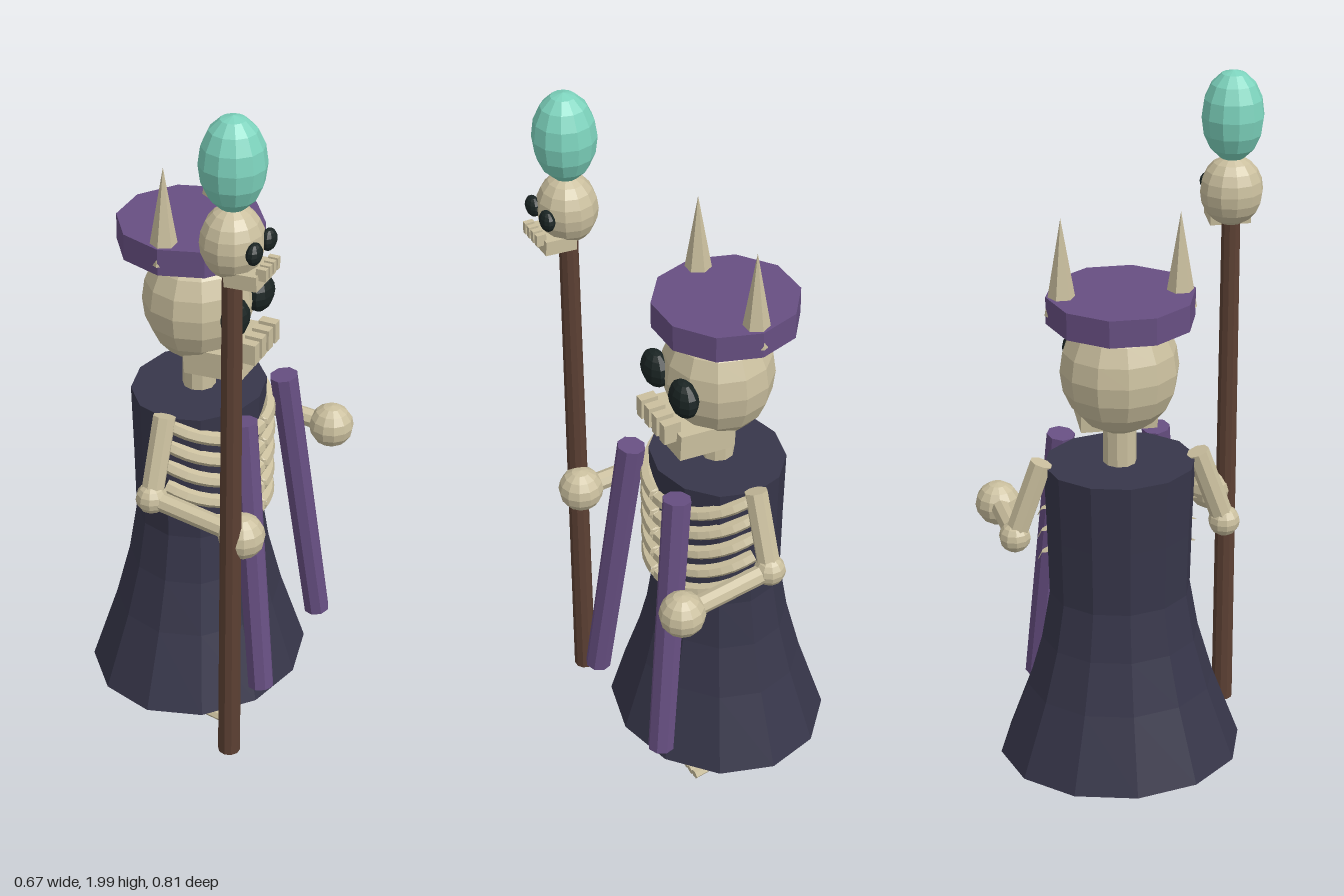
import * as THREE from 'three';

const material = (name, color) => {
  const m = new THREE.MeshStandardMaterial({ color, flatShading: true });
  m.name = name;
  return m;
};

const V = (x, y, z) => new THREE.Vector3(x, y, z);

export function createModel() {
  const bone = material('bone', 0xcabf9e);
  const robeCloth = material('robe cloth', 0x37364a);
  const purple = material('purple cloth', 0x674f82);
  const socket = material('eye socket', 0x1a2423);
  const wood = material('wood', 0x5c4033);
  const jewel = material('jewel', 0x7dd3bd);

  const model = new THREE.Group();
  model.name = 'skeletonMage';

  const add = (parent, name, geometry, mat, x = 0, y = 0, z = 0) => {
    const mesh = new THREE.Mesh(geometry, mat);
    mesh.name = name;
    mesh.position.set(x, y, z);
    parent.add(mesh);
    return mesh;
  };

  const ball = (parent, name, mat, p, rx, ry = rx, rz = rx, w = 12, h = 8) => {
    const mesh = add(parent, name, new THREE.SphereGeometry(1, w, h), mat, p.x, p.y, p.z);
    mesh.scale.set(rx, ry, rz);
    return mesh;
  };

  // Straight rod between two points
  const rod = (parent, name, mat, a, b, ra, rb = ra, sides = 8) => {
    const d = b.clone().sub(a);
    const mesh = add(parent, name, new THREE.CylinderGeometry(rb, ra, d.length(), sides), mat);
    mesh.position.copy(a).add(b).multiplyScalar(0.5);
    mesh.quaternion.setFromUnitVectors(V(0, 1, 0), d.normalize());
    return mesh;
  };

  // Skull facing +x, centred on its cranium
  const makeSkull = (name) => {
    const skull = new THREE.Group();
    skull.name = name;
    ball(skull, 'cranium', bone, V(0, 0, 0), 0.152, 0.182, 0.162, 12, 10);
    for (const s of [-1, 1]) {
      ball(skull, 'eyeSocket', socket, V(0.145, 0.002, s * 0.08), 0.036, 0.054, 0.056, 10, 8);
    }
    const jaw = add(skull, 'jaw', new THREE.BoxGeometry(0.165, 0.075, 0.21), bone, 0.085, -0.145, 0);
    jaw.rotation.z = 0.06;
    for (let i = 0; i < 4; i++) {
      const z = (i - 1.5) * 0.044;
      add(skull, 'tooth', new THREE.BoxGeometry(0.05, 0.06, 0.028), bone, 0.178, -0.1, z);
    }
    return skull;
  };

  // The figure is mirrored about its own middle plane
  const figure = new THREE.Group();
  figure.name = 'figure';
  figure.position.set(-0.036, 0, -0.038);
  model.add(figure);

  // Closed flared robe
  const profile = [[0, 0.1], [0.3, 0.1], [0.23, 0.32], [0.193, 0.47], [0.172, 0.61], [0.176, 0.8], [0.182, 1], [0, 1]]
    .map(([r, y]) => new THREE.Vector2(r, y));
  const robe = add(figure, 'robe', new THREE.LatheGeometry(profile, 12), robeCloth);
  robe.scale.z = 1.15;

  // Neck and head
  rod(figure, 'neck', bone, V(0, 0.98, 0), V(0, 1.12, 0), 0.046, 0.046, 10);
  const head = makeSkull('head');
  head.position.y = 1.275;
  figure.add(head);

  // Flat cap with two horns
  add(figure, 'cap', new THREE.CylinderGeometry(0.2, 0.2, 0.075, 10), purple, -0.024, 1.463, 0);
  for (const s of [-1, 1]) {
    add(figure, 'horn', new THREE.ConeGeometry(0.045, 0.268, 6), bone, -0.026, 1.583, s * 0.158);
  }

  for (const s of [-1, 1]) {
    // Five ribs per side, sloping down towards the breast
    for (let i = 0; i < 5; i++) {
      const y = 0.915 - i * 0.067;
      const points = [];
      for (let k = 0; k <= 6; k++) {
        const a = (k / 6) * (Math.PI / 2);
        points.push(V(0.188 * Math.sin(a), y + 0.068 * (1 - Math.sin(a)), s * (0.007 + 0.2 * Math.cos(a))));
      }
      const curve = new THREE.CatmullRomCurve3(points);
      add(figure, 'rib', new THREE.TubeGeometry(curve, 10, 0.02, 6), bone);
      ball(figure, 'ribEnd', bone, points[6], 0.02, 0.02, 0.006, 6, 4);
    }

    // Arm reaching forward
    const elbow = V(-0.003, 0.793, s * 0.292);
    const hand = V(0.272, 0.76, s * 0.307);
    rod(figure, 'upperArm', bone, V(0, 1.01, s * 0.215), elbow, 0.032);
    ball(figure, 'elbow', bone, elbow, 0.044, 0.044, 0.044, 10, 8);
    rod(figure, 'forearm', bone, elbow, hand, 0.027);
    ball(figure, 'hand', bone, hand, 0.064, 0.064, 0.064, 12, 8);

    // Hanging stole
    rod(figure, 'stole', purple, V(0.287, 0.188, s * 0.2), V(0.195, 1, s * 0.134), 0.037, 0.04);

    // Shin and toes
    const ankle = V(0.012, 0.05, s * 0.158);
    rod(figure, 'shin', bone, V(-0.02, 0.16, s * 0.155), ankle, 0.024, 0.026, 8);
    for (let i = 0; i < 4; i++) {
      const t = i - 1.5;
      rod(figure, 'toe', bone, V(0.01, 0.045, ankle.z + t * 0.02),
        V(0.18, 0.02 + (Math.abs(t) < 1 ? 0 : 0.006), ankle.z + t * 0.028), 0.014, 0.015, 6);
    }
  }

  // Staff topped by a small skull and a jewel
  const staff = new THREE.Group();
  staff.name = 'staff';
  staff.position.set(0.224, 0, 0.314);
  model.add(staff);
  rod(staff, 'shaft', wood, V(0, 0.06, 0), V(0, 1.6, 0), 0.031, 0.026, 10);
  const smallSkull = makeSkull('staffSkull');
  smallSkull.scale.setScalar(0.54);
  smallSkull.position.y = 1.664;
  staff.add(smallSkull);
  ball(staff, 'jewel', jewel, V(0, 1.874, 0), 0.086, 0.126, 0.086, 12, 8);

  return model;
}
